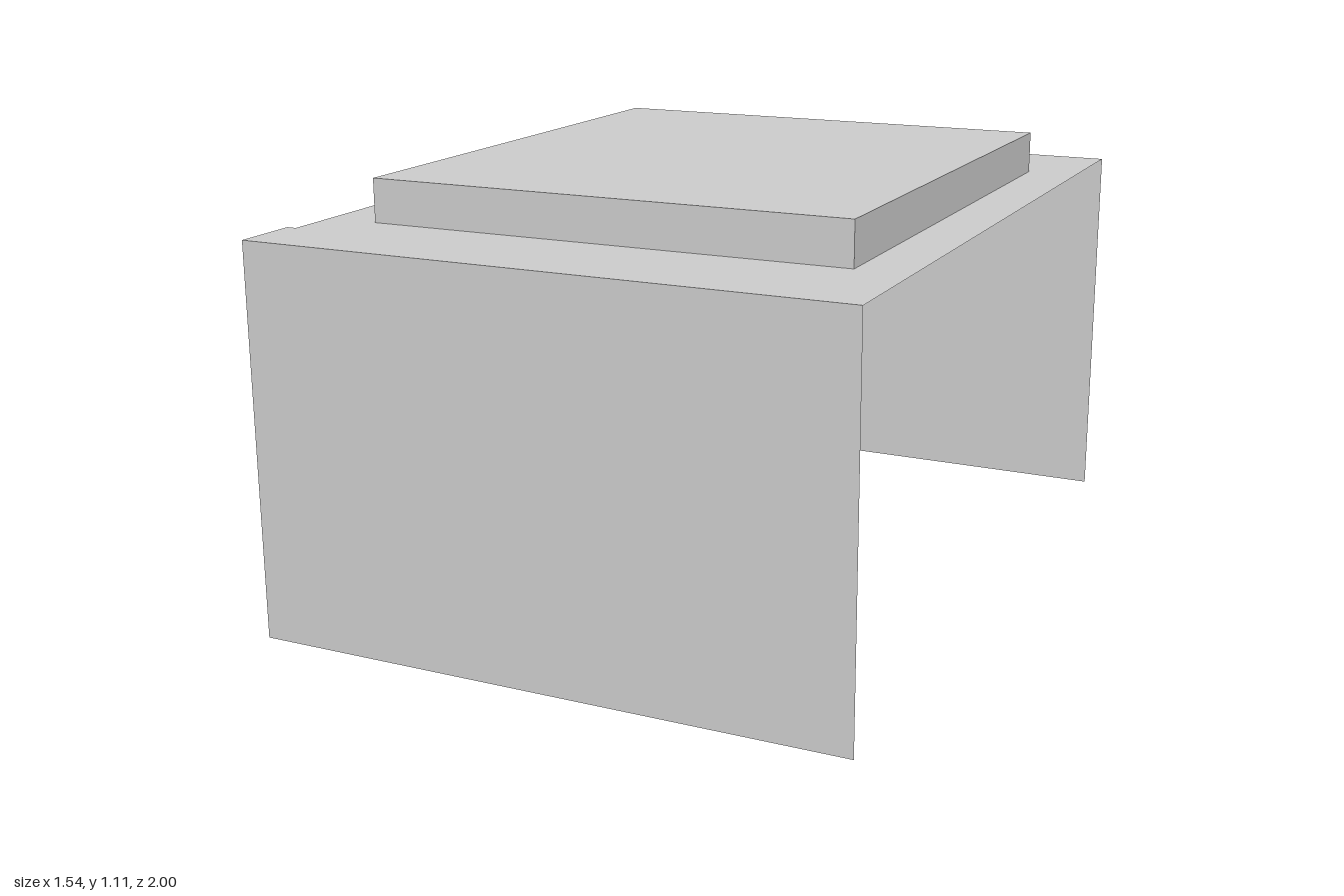
import * as THREE from 'three';

const material = new THREE.MeshStandardMaterial({ color: 0xcccccc, side: THREE.DoubleSide, flatShading: true });

const HALF_X = 0.77, WALL_X = -0.745, PIER_Z = 0.83, ROOF_Y = 1, DECK_Y = 1.11;

function addMesh(parent, name, geometry) {
  const mesh = new THREE.Mesh(geometry, material);
  mesh.name = name;
  parent.add(mesh);
}

// Band of flat quads between two matching rows of [x, y, z] points
function band(a, b, closed = false) {
  const positions = [];
  const count = closed ? a.length : a.length - 1;
  for (let i = 0; i < count; i++) {
    const j = (i + 1) % a.length;
    positions.push(...a[i], ...a[j], ...b[j], ...a[i], ...b[j], ...b[i]);
  }
  const geometry = new THREE.BufferGeometry();
  geometry.setAttribute('position', new THREE.Float32BufferAttribute(positions, 3));
  geometry.computeVertexNormals();
  return geometry;
}

// Upright sheet that follows a plan of [x, z] points
function upright(plan, y0, y1, closed = false) {
  return band(plan.map(([x, z]) => [x, y0, z]), plan.map(([x, z]) => [x, y1, z]), closed);
}

const polygon = (points) => points.map(([x, y]) => new THREE.Vector2(x, y));

function rectangle(u0, u1, v0, v1) {
  return [[u0, v0], [u1, v0], [u1, v1], [u0, v1]];
}

// Loop along the bottom of a plan and back along its top
function ring(plan, y0, y1) {
  return [
    ...plan.map(([x, z]) => [x, y0, z]),
    ...plan.slice().reverse().map(([x, z]) => [x, y1, z]),
  ];
}

// Window set into the side wall: panes along a plan, with a frame out to the wall opening
function addWindow(parent, name, plan, opening) {
  const group = new THREE.Group();
  group.name = name;
  const [z0, z1, y0, y1] = opening;
  const last = plan.length - 1;
  const rim = plan.map(([, z], i) => [WALL_X, i === 0 ? z0 : i === last ? z1 : z]);
  addMesh(group, name + 'Panes', upright(plan, 0.605, 0.815));
  addMesh(group, name + 'Frame', band(ring(rim, y0, y1), ring(plan, 0.605, 0.815), true));
  parent.add(group);
}

export function createModel() {
  const model = new THREE.Group();
  model.name = 'building';

  // End walls, each wrapping round a shallow corner pier
  const frontPlan = [[WALL_X, PIER_Z], [-HALF_X, PIER_Z], [-HALF_X, 1], [HALF_X, 1]];
  const backPlan = frontPlan.map(([x, z]) => [x, -z]).reverse();
  addMesh(model, 'frontWall', upright(frontPlan, 0, ROOF_Y));
  addMesh(model, 'backWall', upright(backPlan, 0, ROOF_Y));

  // Side wall with three window openings
  const openings = [
    [-0.815, -0.352, 0.605, 0.815],
    [-0.333, 0.333, 0.585, 0.833],
    [0.352, 0.815, 0.605, 0.815],
  ];
  const wall = new THREE.Shape(polygon(rectangle(-PIER_Z, PIER_Z, 0, ROOF_Y)));
  for (const o of openings) wall.holes.push(new THREE.Path(polygon(rectangle(...o))));
  addMesh(model, 'sideWall', new THREE.ShapeGeometry(wall).rotateY(-Math.PI / 2));
  model.getObjectByName('sideWall').position.x = WALL_X;

  // Flat windows at both ends, faceted bay in the middle
  const pane = -0.715;
  addWindow(model, 'backWindow', [[pane, -0.815], [pane, -0.352]], openings[0]);
  addWindow(model, 'frontWindow', [[pane, 0.352], [pane, 0.815]], openings[2]);
  const halfBay = [[-0.67, 0.182], [-0.64, 0.198], [pane, 0.328]];
  const bay = [...halfBay.map(([x, z]) => [x, -z]).reverse(), ...halfBay];
  addWindow(model, 'bayWindow', bay, openings[1]);

  // Roof sheet, open beneath the raised deck
  const deck = [[-0.61, 0.695], [0.635, 0.695], [0.635, -0.695], [-0.61, -0.695]];
  const roof = new THREE.Shape(polygon([...frontPlan, ...backPlan].map(([x, z]) => [x, -z])));
  roof.holes.push(new THREE.Path(polygon(deck.map(([x, z]) => [x, -z]))));
  addMesh(model, 'roof', new THREE.ShapeGeometry(roof).rotateX(-Math.PI / 2));
  model.getObjectByName('roof').position.y = ROOF_Y;

  // Raised deck: hollow sides and a flat top
  addMesh(model, 'deckSides', upright(deck, ROOF_Y, DECK_Y, true));
  const top = new THREE.Shape(polygon(deck.map(([x, z]) => [x, -z])));
  addMesh(model, 'deckTop', new THREE.ShapeGeometry(top).rotateX(-Math.PI / 2));
  model.getObjectByName('deckTop').position.y = DECK_Y;

  return model;
}
